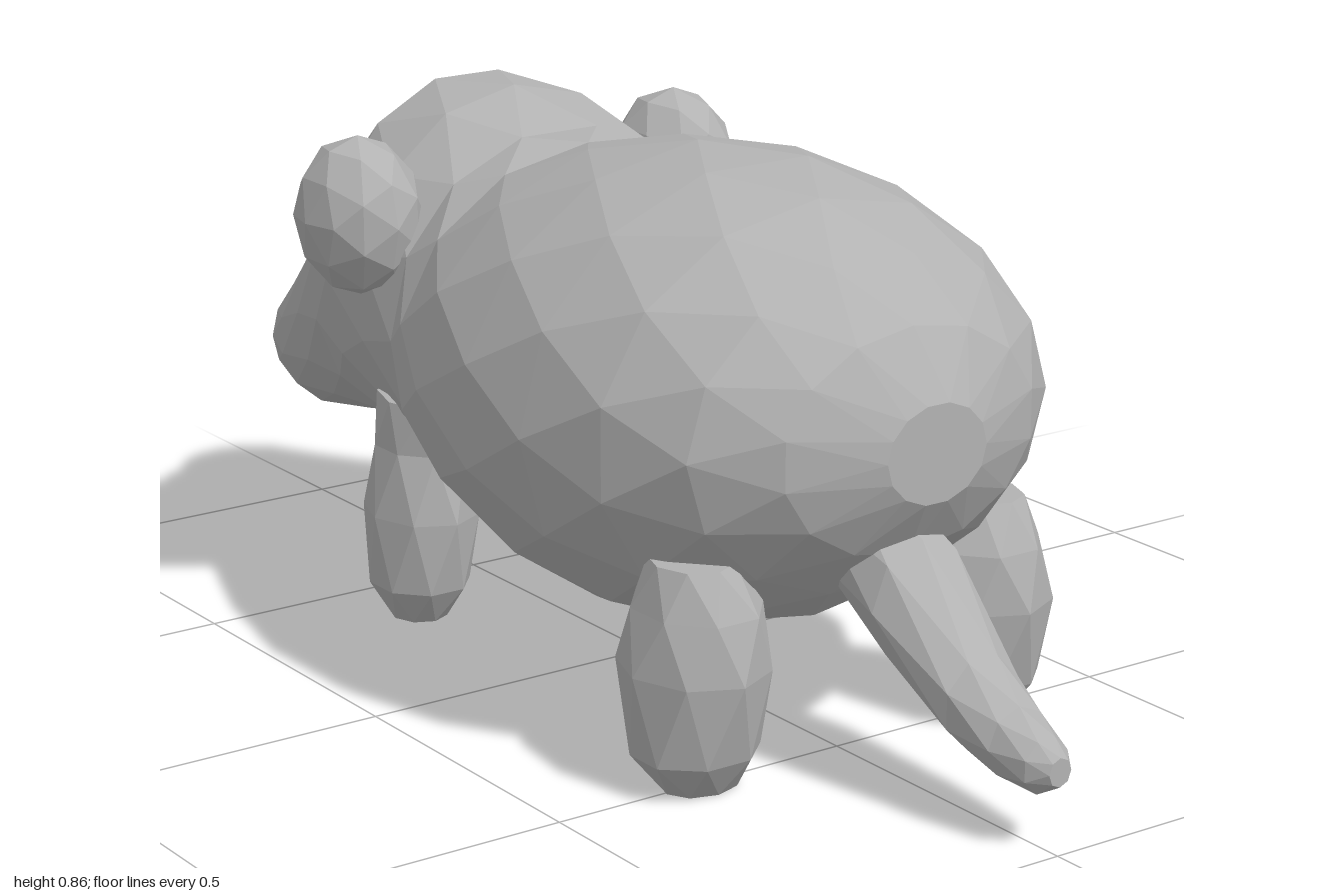
import * as THREE from 'three';

// Faceted skin over oval rings [x, y, z, halfWidth, halfDepth].
// axis 'z': rings run from +z to -z; axis 'y': rings run from low to high.
// Every second ring is turned half a step for triangular facets.
function loft(rings, sides, axis) {
  const pos = [];
  const index = [];
  rings.forEach(([x, y, z, a, b], i) => {
    for (let j = 0; j < sides; j++) {
      const t = ((j + (i % 2) * 0.5) / sides) * Math.PI * 2;
      const u = a * Math.cos(t);
      const v = b * Math.sin(t);
      if (axis === 'z') pos.push(x + u, y + v, z);
      else pos.push(x + u, y, z + v);
    }
  });
  for (let i = 0; i < rings.length - 1; i++) {
    for (let j = 0; j < sides; j++) {
      const k = (j + 1) % sides;
      const a = i * sides + j, a1 = i * sides + k;
      const b = a + sides, b1 = a1 + sides;
      if (i % 2) index.push(a, b, b1, a, b1, a1);
      else index.push(a, b, a1, b, b1, a1);
    }
  }
  // end caps
  const last = (rings.length - 1) * sides;
  const c = pos.length / 3;
  pos.push(...rings[0].slice(0, 3), ...rings[rings.length - 1].slice(0, 3));
  for (let j = 0; j < sides; j++) {
    const k = (j + 1) % sides;
    index.push(c, j, k, c + 1, last + k, last + j);
  }
  const indexed = new THREE.BufferGeometry();
  indexed.setAttribute('position', new THREE.Float32BufferAttribute(pos, 3));
  indexed.setIndex(index);
  const geo = indexed.toNonIndexed();
  geo.computeVertexNormals();
  return geo;
}

export function createModel() {
  const model = new THREE.Group();
  const fur = new THREE.MeshStandardMaterial({ color: 0xb2b2b2, flatShading: true });
  fur.name = 'grey fur';

  const add = (name, geo) => {
    const mesh = new THREE.Mesh(geo, fur);
    mesh.name = name;
    model.add(mesh);
    return mesh;
  };

  // body and head in one skin: z, top, bottom, half width
  const profile = [
    [0.72, 0.59, 0.44, 0.09],
    [0.66, 0.69, 0.35, 0.23],
    [0.57, 0.77, 0.27, 0.33],
    [0.44, 0.83, 0.19, 0.395],
    [0.29, 0.86, 0.145, 0.425],
    [0.14, 0.86, 0.135, 0.43],
    [-0.02, 0.835, 0.16, 0.405],
    [-0.15, 0.8, 0.185, 0.36],
    [-0.23, 0.81, 0.21, 0.32],
    [-0.36, 0.855, 0.235, 0.3],
    [-0.5, 0.855, 0.24, 0.275],
    [-0.63, 0.755, 0.235, 0.225],
    [-0.76, 0.61, 0.215, 0.18],
    [-0.89, 0.48, 0.19, 0.14],
    [-0.96, 0.42, 0.21, 0.115],
    [-1, 0.38, 0.27, 0.08],
  ];
  add('bodyAndHead', loft(
    profile.map(([z, top, bottom, w]) => [0, (top + bottom) / 2, z, w, (top - bottom) / 2]), 14, 'z'));

  // tail, from tip to root
  add('tail', loft([
    [0, 0.125, 1, 0.02, 0.022],
    [0, 0.125, 0.97, 0.042, 0.042],
    [0, 0.14, 0.91, 0.055, 0.055],
    [0, 0.175, 0.83, 0.07, 0.07],
    [0, 0.285, 0.69, 0.09, 0.095],
    [0, 0.36, 0.55, 0.08, 0.1],
  ], 8, 'z'));

  for (const s of [1, -1]) {
    const side = s > 0 ? 'left' : 'right';

    // hind leg, from sole to hip
    add(side + 'HindLeg', loft([
      [s * 0.255, 0, 0.505, 0.06, 0.045],
      [s * 0.265, 0.06, 0.505, 0.1, 0.09],
      [s * 0.265, 0.19, 0.5, 0.108, 0.125],
      [s * 0.26, 0.28, 0.5, 0.095, 0.11],
      [s * 0.27, 0.35, 0.5, 0.06, 0.07],
    ], 8, 'y'));

    // front leg, from sole to shoulder
    add(side + 'FrontLeg', loft([
      [s * 0.215, 0.01, -0.33, 0.045, 0.05],
      [s * 0.215, 0.07, -0.325, 0.08, 0.09],
      [s * 0.21, 0.19, -0.325, 0.088, 0.108],
      [s * 0.205, 0.3, -0.325, 0.075, 0.09],
      [s * 0.2, 0.38, -0.32, 0.07, 0.1],
    ], 8, 'y'));

    // round ear
    const ear = add(side + 'Ear', new THREE.IcosahedronGeometry(1, 1));
    ear.scale.set(0.098, 0.128, 0.118);
    ear.position.set(s * 0.303, 0.687, -0.345);
  }
  return model;
}
